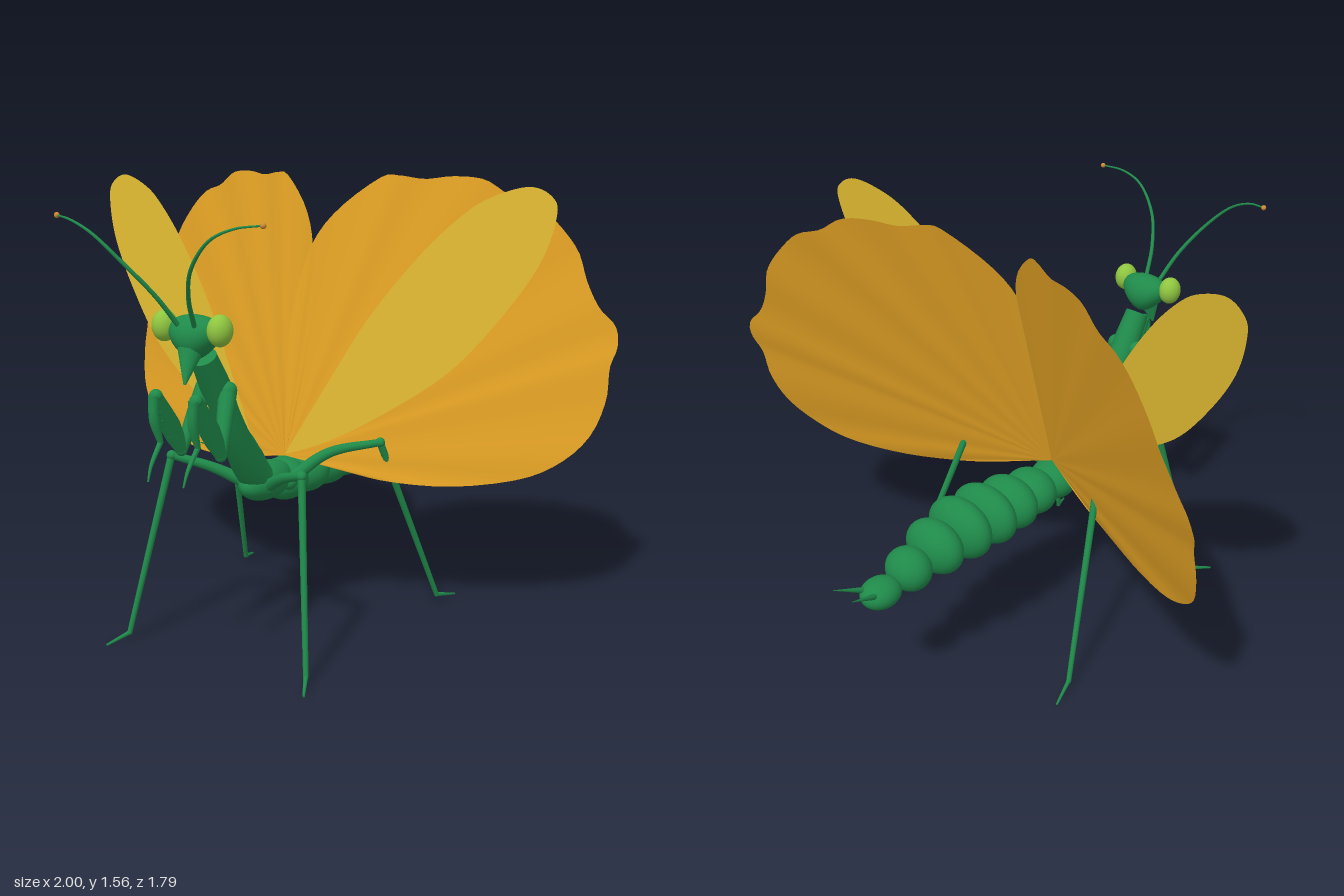
import * as THREE from 'three';

const mat = (name, color, side = THREE.FrontSide) => {
  const m = new THREE.MeshStandardMaterial({ color, side });
  m.name = name;
  return m;
};
const V = (p) => new THREE.Vector3(...p);

export function createModel() {
  const green = mat('body green', 0x1f8a4a);
  const eyeGreen = mat('eye lime', 0x8fc640);
  const amber = mat('hind wing amber', 0xe0a024, THREE.DoubleSide);
  const yellow = mat('fore wing yellow', 0xe0ba32, THREE.DoubleSide);
  const orange = mat('antenna tip orange', 0xd08a30);

  const model = new THREE.Group();
  model.name = 'mantis';

  const add = (parent, name, geometry, material) => {
    const mesh = new THREE.Mesh(geometry, material);
    mesh.name = name;
    parent.add(mesh);
    return mesh;
  };

  const ellipsoid = (parent, name, center, radii, material = green) => {
    const g = new THREE.SphereGeometry(1, 28, 18).scale(...radii).translate(...center);
    return add(parent, name, g, material);
  };

  // Tapered tube through points; radii are spread evenly along it, ends are capped
  const limb = (parent, name, points, radii, sides = 10, n = 16) => {
    const curve = points.length > 2
      ? new THREE.CatmullRomCurve3(points.map(V))
      : new THREE.LineCurve3(V(points[0]), V(points[1]));
    const g = new THREE.TubeGeometry(curve, n, 1, sides, false);
    const pos = g.attributes.position;
    const v = new THREE.Vector3();
    for (let i = 0; i <= n; i++) {
      const c = curve.getPointAt(i / n);
      const f = (i / n) * (radii.length - 1);
      const k = Math.min(Math.floor(f), radii.length - 2);
      const r = THREE.MathUtils.lerp(radii[k], radii[k + 1], f - k);
      for (let j = 0; j <= sides; j++) {
        const id = i * (sides + 1) + j;
        v.fromBufferAttribute(pos, id).sub(c).multiplyScalar(r).add(c);
        pos.setXYZ(id, v.x, v.y, v.z);
      }
    }
    const tube = add(parent, name, g, green);
    [0, 1].forEach((t) => {
      const r = t ? radii[radii.length - 1] : radii[0];
      const cap = new THREE.CircleGeometry(r, sides);
      const dir = curve.getTangentAt(t).multiplyScalar(t ? 1 : -1);
      cap.applyQuaternion(new THREE.Quaternion().setFromUnitVectors(V([0, 0, 1]), dir));
      const c = curve.getPointAt(t);
      add(tube, 'limbEnd', cap.translate(c.x, c.y, c.z), green);
    });
    return tube;
  };

  // Wing sheet: rings fanned out from the root, lying in a tilted plane with soft pleats
  const wing = (name, side, root, outline, plane, pleat, material) => {
    const curve = new THREE.SplineCurve(outline.map((p) => new THREE.Vector2(...p)));
    const n = 90, rings = 8, pos = [], idx = [];
    for (let i = 0; i <= n; i++) {
      const p = curve.getPoint(i / n);
      for (let j = 0; j <= rings; j++) {
        const t = j / rings;
        const x = THREE.MathUtils.lerp(root[0], p.x, t);
        const y = THREE.MathUtils.lerp(root[1], p.y, t);
        const ripple = pleat * t * Math.sin((i / n) * Math.PI * 18);
        pos.push(side * x, y, root[2] - plane[0] * (x - root[0]) - plane[1] * (y - root[1]) + ripple);
        if (i < n && j < rings) {
          const a = i * (rings + 1) + j, b = a + rings + 1;
          idx.push(a, a + 1, b + 1);
          if (j > 0) idx.push(a, b + 1, b);
        }
      }
    }
    const g = new THREE.BufferGeometry();
    g.setAttribute('position', new THREE.Float32BufferAttribute(pos, 3));
    g.setIndex(idx);
    g.computeVertexNormals();
    add(model, name, g, material);
  };

  // Abdomen: z, y, half width, half height, half length of each segment
  const segments = [
    [0.15, 0.52, 0.09, 0.075, 0.085], [0.02, 0.525, 0.105, 0.085, 0.085],
    [-0.1, 0.535, 0.125, 0.098, 0.08], [-0.225, 0.546, 0.14, 0.109, 0.075],
    [-0.35, 0.549, 0.137, 0.111, 0.075], [-0.475, 0.535, 0.12, 0.097, 0.075],
    [-0.6, 0.508, 0.087, 0.077, 0.075], [-0.73, 0.481, 0.065, 0.052, 0.075],
  ];
  const abdomen = new THREE.Group();
  abdomen.name = 'abdomen';
  model.add(abdomen);
  segments.forEach(([z, y, rx, ry, rz], i) =>
    ellipsoid(abdomen, 'abdomenSegment' + (i + 1), [0, y, z], [rx, ry, rz]));

  // Thorax and long upright neck
  ellipsoid(model, 'thorax', [0, 0.545, 0.27], [0.072, 0.066, 0.135]);
  limb(model, 'neck', [[0, 0.55, 0.31], [0, 0.62, 0.37], [0, 0.74, 0.455], [0, 0.9, 0.55], [0, 1.035, 0.632]],
    [0.058, 0.06, 0.048, 0.044, 0.05, 0.043], 20, 24);

  // Triangular head, widened towards the top
  const skull = new THREE.SphereGeometry(1, 28, 20);
  const sp = skull.attributes.position;
  for (let i = 0; i < sp.count; i++) {
    const y = sp.getY(i);
    sp.setXYZ(i, sp.getX(i) * 0.085 * (1 + 0.4 * y), y * 0.07 + 1.105, sp.getZ(i) * 0.066 + 0.675);
  }
  skull.computeVertexNormals();
  add(model, 'head', skull, green);
  limb(model, 'mouth', [[0, 1.07, 0.7], [0, 0.965, 0.735]], [0.042, 0.004], 16);

  // Wing outlines on the +x side, from the inner edge round to the lower edge
  const hindOutline = [
    [0, 0.6], [-0.025, 0.75], [-0.04, 0.95], [-0.034, 1.15], [0, 1.33], [0.07, 1.45], [0.19, 1.555],
    [0.25, 1.562], [0.33, 1.55], [0.42, 1.56], [0.52, 1.55], [0.6, 1.5], [0.69, 1.47], [0.77, 1.4],
    [0.84, 1.31], [0.88, 1.21], [0.93, 1.12], [0.985, 1.06], [1, 0.99], [0.985, 0.92], [0.985, 0.81],
    [0.95, 0.69], [0.87, 0.6], [0.75, 0.54], [0.55, 0.51], [0.35, 0.52], [0.2, 0.55], [0.02, 0.6],
  ];
  const foreOutline = [
    [0.06, 0.64], [0.18, 0.86], [0.31, 1.1], [0.47, 1.32], [0.6, 1.455], [0.69, 1.515], [0.8, 1.548],
    [0.87, 1.52], [0.89, 1.46], [0.85, 1.31], [0.74, 1.13], [0.58, 0.94], [0.36, 0.78], [0.2, 0.69], [0.07, 0.64],
  ];

  for (const s of [1, -1]) {
    const label = s > 0 ? 'left' : 'right';
    const m = (pts) => pts.map(([x, y, z]) => [s * x, y, z]);

    wing(label + 'HindWing', s, [0, 0.6, 0.14], hindOutline, [0.45, 0.27], 0.003, amber);
    wing(label + 'ForeWing', s, [0.06, 0.64, 0.24], foreOutline, [0.25, 0.095], 0, yellow);

    // Eye and antenna
    ellipsoid(model, label + 'Eye', [s * 0.103, 1.135, 0.69], [0.039, 0.05, 0.044], eyeGreen);
    limb(model, label + 'Antenna', m([[0.03, 1.145, 0.72], [0.06, 1.24, 0.79], [0.12, 1.34, 0.86],
      [0.21, 1.43, 0.895], [0.29, 1.465, 0.89], [0.365, 1.475, 0.865]]), [0.008, 0.006, 0.003], 8, 32);
    ellipsoid(model, label + 'AntennaTip', [s * 0.367, 1.475, 0.864], [0.009, 0.009, 0.009], orange);

    // Tail spike
    limb(model, label + 'TailSpike', m([[0.025, 0.5, -0.77], [0.046, 0.555, -0.89]]), [0.012, 0.001], 8);

    // Folded grasping foreleg with spines
    const fore = new THREE.Group();
    fore.name = label + 'Foreleg';
    model.add(fore);
    limb(fore, 'coxa', m([[0.045, 0.92, 0.565], [0.075, 0.73, 0.655]]), [0.03, 0.026, 0.018]);
    ellipsoid(fore, 'shoulder', [s * 0.045, 0.92, 0.565], [0.03, 0.03, 0.03]);
    ellipsoid(fore, 'elbow', [s * 0.075, 0.73, 0.655], [0.019, 0.019, 0.019]);
    limb(fore, 'femur', m([[0.075, 0.73, 0.655], [0.075, 0.93, 0.78]]), [0.018, 0.03, 0.034, 0.028, 0.02]);
    ellipsoid(fore, 'wrist', [s * 0.075, 0.932, 0.782], [0.021, 0.021, 0.021]);
    limb(fore, 'tibia', m([[0.075, 0.935, 0.795], [0.072, 0.86, 0.797], [0.07, 0.78, 0.77]]), [0.017, 0.017, 0.009]);
    limb(fore, 'tarsus', m([[0.07, 0.785, 0.77], [0.068, 0.72, 0.825], [0.066, 0.675, 0.845]]), [0.009, 0.007, 0.003], 8);
    for (let i = 0; i < 4; i++) {
      const y = 0.78 + i * 0.03, z = 0.7 + i * 0.019;
      limb(fore, 'spine', m([[0.068, y, z], [0.062, y + 0.014, z + 0.045]]), [0.006, 0.001], 6, 2);
    }

    // Walking legs: hip, arch of the thigh, knee, ankle, toe
    const legs = {
      MiddleLeg: [[0.04, 0.54, 0.32], [0.14, 0.6, 0.39], [0.255, 0.643, 0.463], [0.35, 0.03, 0.6], [0.388, 0.005, 0.68]],
      HindLeg: [[0.05, 0.53, 0.2], [0.16, 0.625, 0.115], [0.31, 0.66, 0.015], [0.42, 0.03, -0.25], [0.45, 0.005, -0.35]],
    };
    for (const [name, pts] of Object.entries(legs)) {
      const leg = new THREE.Group();
      leg.name = label + name;
      model.add(leg);
      const [hip, arch, knee, ankle, toe] = m(pts);
      ellipsoid(leg, 'hip', hip, [0.032, 0.032, 0.032]);
      limb(leg, 'thigh', [hip, arch, knee], [0.024, 0.018, 0.013]);
      ellipsoid(leg, 'knee', knee, [0.017, 0.017, 0.017]);
      limb(leg, 'shin', [knee, ankle], [0.013, 0.009]);
      ellipsoid(leg, 'ankle', ankle, [0.009, 0.009, 0.009]);
      limb(leg, 'foot', [ankle, toe], [0.008, 0.004], 8);
    }
  }
  return model;
}
